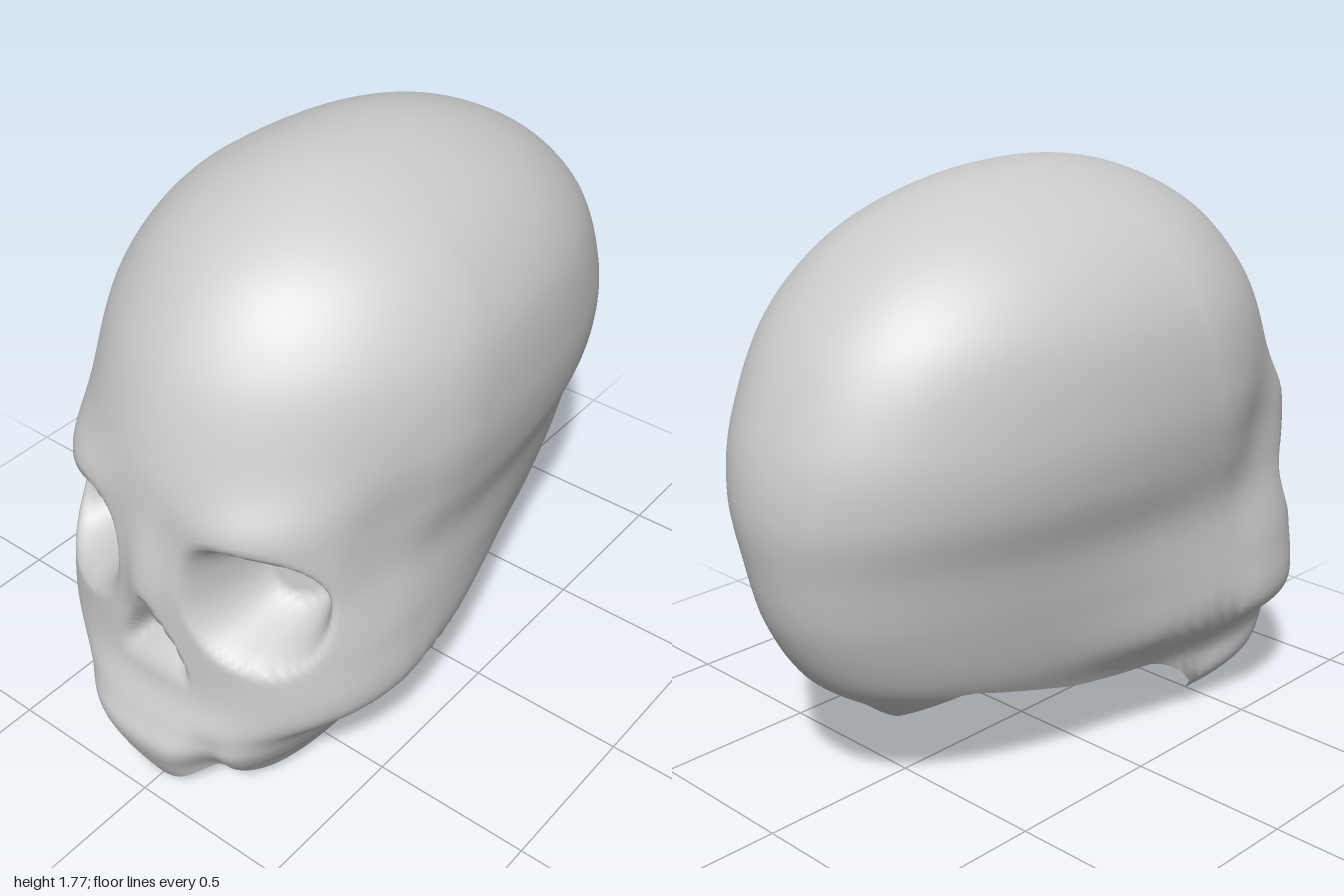
import * as THREE from 'three';

const COLS = 180, ROWS = 96;

// Horizontal sections, bottom to top:
// y, front z, back z, half width of the face, half width of the braincase, z of the widest point, front roundness
const LEVELS = [
  [0, 0.92, -0.30, 0.27, 0.27, 0.43, 2.4],
  [0.1, 0.97, -0.42, 0.38, 0.36, 0.43, 2.4],
  [0.2, 1.00, -0.56, 0.39, 0.38, 0.42, 2.7],
  [0.28, 0.97, -0.66, 0.435, 0.41, 0.41, 2.8],
  [0.40, 0.92, -0.82, 0.565, 0.45, 0.40, 2.65],
  [0.58, 0.91, -0.93, 0.56, 0.49, 0.39, 2.65],
  [0.77, 0.91, -0.98, 0.54, 0.53, 0.35, 2.6],
  [0.95, 0.90, -1.00, 0.58, 0.585, 0.25, 2.35],
  [1.15, 0.88, -0.96, 0.60, 0.60, 0.20, 1.9],
  [1.4, 0.78, -0.83, 0.56, 0.56, 0.15, 1.8],
  [1.6, 0.60, -0.61, 0.42, 0.42, 0.10, 1.85],
  [1.73, 0.33, -0.30, 0.20, 0.20, 0.05, 2],
  [1.77, 0.05, 0.05, 0, 0, 0.05, 2],
];
const LAST = LEVELS.length - 1;

// Height of the open lower rim by angle from the front, in degrees
const RIM_BACK = [[96, 0.18], [102, 0.245], [120, 0.27], [140, 0.36], [170, 0.24], [180, 0.24]];
const RIM_LEFT = [[0, 0], [28, 0.11], [60, 0.04], [90, 0.04], ...RIM_BACK];
const RIM_RIGHT = [[0, 0], [40, 0], [65, 0.01], [90, 0.04], ...RIM_BACK];

const smooth = THREE.MathUtils.smoothstep;
const bump = (d, r) => Math.exp(-(d / r) * (d / r));

function rimHeight(phi) {
  const knots = phi >= 0 ? RIM_LEFT : RIM_RIGHT;
  const deg = Math.min(180, Math.abs(phi) * THREE.MathUtils.RAD2DEG);
  const k = Math.max(1, knots.findIndex(([a]) => a >= deg));
  const [a0, y0] = knots[k - 1], [a1, y1] = knots[k];
  return y0 + (y1 - y0) * (deg - a0) / (a1 - a0);
}

// Level beyond the crown is mirrored so that the top closes smoothly
function level(i) {
  if (i < 0) return LEVELS[0];
  if (i <= LAST) return LEVELS[i];
  const p = LEVELS[LAST - 1], c = LEVELS[LAST];
  return p.map((v, k) => (k === 0 ? v : 2 * c[k] - v));
}

// Smooth section at level parameter t
function section(t) {
  const i = Math.min(LAST - 1, Math.floor(t)), f = t - i;
  const [a, b, c, d] = [level(i - 1), level(i), level(i + 1), level(i + 2)];
  return b.map((v, k) => v + 0.5 * f * (c[k] - a[k]
    + f * (2 * a[k] - 5 * v + 4 * c[k] - d[k] + f * (3 * (v - c[k]) + d[k] - a[k]))));
}

// Level parameter at which the section reaches height y
function levelAt(y) {
  let lo = 0, hi = 5;
  for (let n = 0; n < 30; n++) {
    const mid = (lo + hi) / 2;
    if (section(mid)[0] < y) lo = mid; else hi = mid;
  }
  return lo;
}

function skullPoint(phi, t) {
  const [y, zFront, zBack, wFace, wCase, zWide, round] = section(t);
  const s = Math.sin(phi), c = Math.cos(phi);
  const e = 2 / (c > 0 ? round : 2.15);
  const w = wFace + (wCase - wFace) * smooth(-c, -0.12, 0.6);
  const cz = Math.pow(Math.abs(c), e);
  let x = w * Math.sign(s) * Math.pow(Math.abs(s), e);
  let z = c > 0 ? zWide + (zFront - zWide) * cz : zWide - (zWide - zBack) * cz;
  const ax = Math.abs(x), zBase = z;

  if (c > 0) {
    // bridge of the nose and brow ridges
    z += 0.035 * bump(ax, 0.07) * bump(y - 0.74, 0.2);
    z += 0.03 * bump(ax - 0.32, 0.17) * bump(y - 1.0, 0.08);
    // eye sockets, flattened ovals leaning down towards the outside
    const ex = Math.abs(ax - 0.3) / 0.185;
    const ey = Math.abs(y - 0.76 + 0.15 * (ax - 0.3)) / 0.2;
    const d = Math.pow(ex ** 2.4 + ey ** 2.4, 1 / 2.4);
    z -= 0.24 * (1 - smooth(d, 0.4, 1.05)) * smooth(zBase, 0.42, 0.65);
    // triangular nose opening, running out at its base
    const half = 0.13 * (0.69 - y) / 0.24;
    z -= 0.09 * smooth(half - ax, -0.015, 0.03) * smooth(y, 0.42, 0.56);
    // groove above the gap in the upper jaw
    z -= 0.06 * bump(x - 0.2, 0.06) * (1 - smooth(y, 0.12, 0.34));
  }
  // temple hollows
  x *= 1 - 0.09 * bump(zBase - 0.52, 0.18) * bump(y - 0.95, 0.2);
  // left side of the jaw tapers in towards its lower edge
  if (x > 0) x *= 1 - 0.12 * bump(y - 0.1, 0.07);
  return [x, y, z];
}

export function createModel() {
  const positions = [], index = [];
  for (let j = 0; j < COLS; j++) {
    // columns crowd towards the face
    const u = -Math.PI + 2 * Math.PI * j / COLS;
    const phi = u - 0.5 * Math.sin(u);
    const t0 = levelAt(rimHeight(phi));
    for (let i = 0; i <= ROWS; i++) {
      positions.push(...skullPoint(phi, t0 + (LAST - t0) * i / ROWS));
      if (i === ROWS) continue;
      const a = j * (ROWS + 1) + i, b = ((j + 1) % COLS) * (ROWS + 1) + i;
      index.push(a, b, a + 1);
      if (i < ROWS - 1) index.push(b, b + 1, a + 1);
    }
  }
  const geometry = new THREE.BufferGeometry();
  geometry.setAttribute('position', new THREE.Float32BufferAttribute(positions, 3));
  geometry.setIndex(index);
  geometry.computeVertexNormals();

  const skull = new THREE.Mesh(geometry,
    new THREE.MeshStandardMaterial({ color: 0xcccccc, side: THREE.DoubleSide }));
  skull.name = 'skullShell';
  const group = new THREE.Group();
  group.name = 'skull';
  group.add(skull);
  return group;
}
